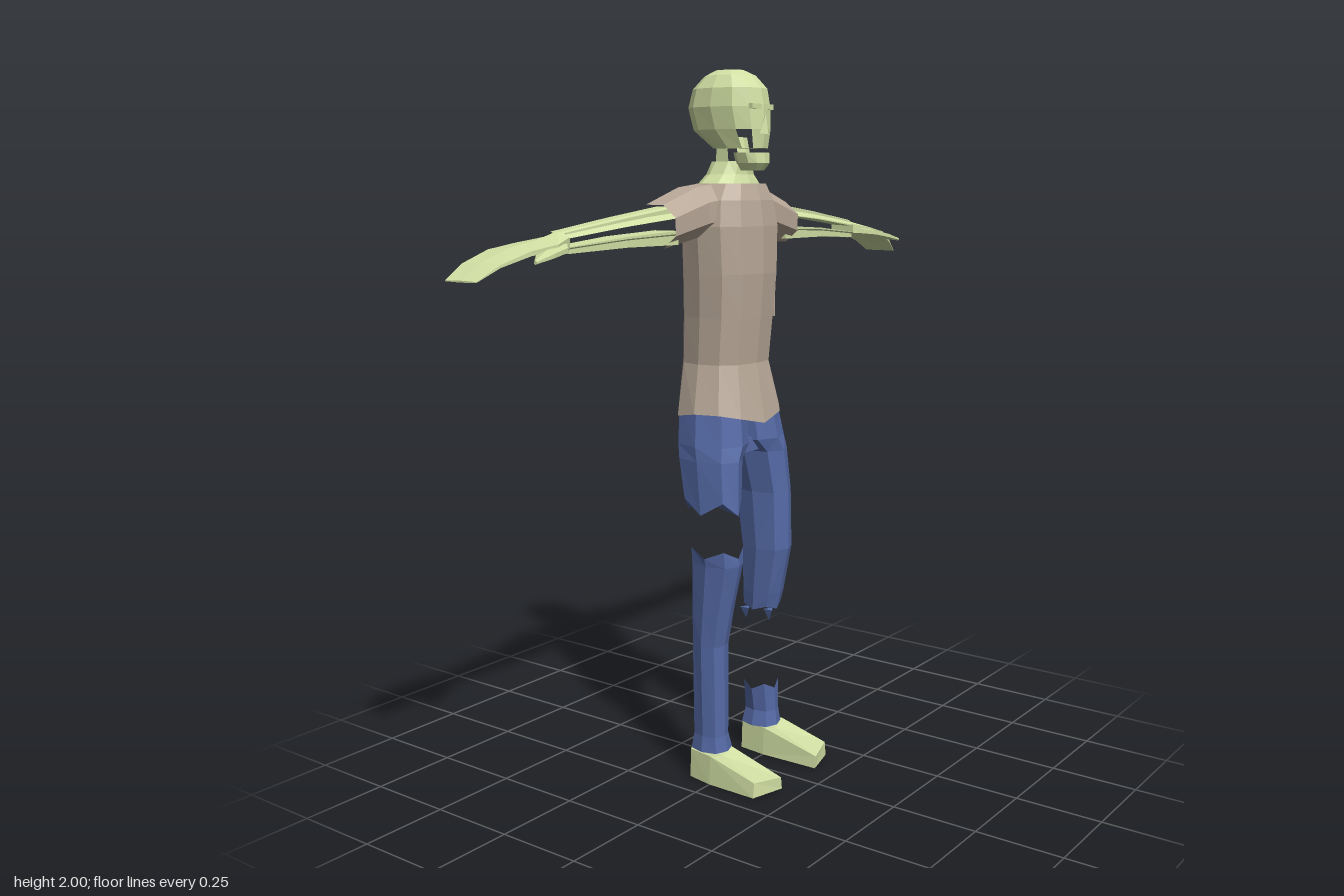
import * as THREE from 'three';

const mat = (name, color) => new THREE.MeshStandardMaterial({ name, color, flatShading: true });

// Flat-shaded geometry from corner positions
function faces(pos) {
  const g = new THREE.BufferGeometry();
  g.setAttribute('position', new THREE.Float32BufferAttribute(pos, 3));
  g.computeVertexNormals();
  return g;
}

// Skin through rings of points; skip(row, cell) leaves holes, flip reverses the winding
function loft(rings, { skip = () => false, bottom = false, top = false, flip = false } = {}) {
  const pos = [];
  const tri = (a, b, c) => pos.push(...a, ...(flip ? c : b), ...(flip ? b : c));
  const n = rings[0].length;
  for (let i = 0; i < rings.length - 1; i++) {
    for (let j = 0; j < n; j++) {
      if (skip(i, j)) continue;
      const k = (j + 1) % n;
      const a = rings[i][j], b = rings[i][k], c = rings[i + 1][k], d = rings[i + 1][j];
      tri(a, d, c);
      tri(a, c, b);
    }
  }
  const cap = (r, up) => {
    const m = [0, 1, 2].map(q => r.reduce((t, p) => t + p[q], 0) / n);
    r.forEach((p, j) => { const o = r[(j + 1) % n]; up ? tri(m, o, p) : tri(m, p, o); });
  };
  if (bottom) cap(rings[0], false);
  if (top) cap(rings[rings.length - 1], true);
  return faces(pos);
}

const soft = v => Math.sign(v) * Math.pow(Math.abs(v), 0.8);

// Level ring: y, x range, z range, optional torn edge and mirror sign
function level([y, x0, x1, z0, z1, jag = 0], n, s = 1) {
  return Array.from({ length: n }, (_, j) => {
    const a = j / n * Math.PI * 2;
    return [(x0 + x1) / 2 + (x1 - x0) / 2 * soft(Math.cos(a)), y + (j % 2 ? jag : -jag),
      s * ((z0 + z1) / 2 + (z1 - z0) / 2 * soft(Math.sin(a)))];
  });
}
const centred = (rows, n) => rows.map(([y, x0, x1, h]) => level([y, x0, x1, -h, h], n));

// Upright ring across an arm: z, x range, y range
function across([z, x0, x1, y0, y1], n, s) {
  return Array.from({ length: n }, (_, j) => {
    const a = (j - 0.5) / n * Math.PI * 2, w = 1 / Math.cos(Math.PI / n);
    return [(x0 + x1) / 2 + (x1 - x0) / 2 * w * Math.cos(a),
      (y0 + y1) / 2 - (y1 - y0) / 2 * w * Math.sin(a), s * z];
  });
}

export function createModel() {
  const model = new THREE.Group();
  const skin = mat('skin', 0xd2e0a4), shirt = mat('shirt', 0xb8a898), denim = mat('denim', 0x556aa6);
  const add = (name, geo, m, x = 0, y = 0, z = 0) => {
    const mesh = new THREE.Mesh(geo, m);
    mesh.name = name;
    mesh.position.set(x, y, z);
    model.add(mesh);
    return mesh;
  };

  // Head with missing cheeks, jaw, nose and brow
  add('head', loft(centred([
    [1.79, -0.1, 0.052, 0.06], [1.84, -0.165, 0.058, 0.077], [1.9, -0.18, 0.054, 0.086],
    [1.95, -0.165, 0.045, 0.08], [1.985, -0.13, 0.012, 0.057], [2.0, -0.1, -0.02, 0.03],
  ], 12), { skip: (i, j) => i === 0 && (j === 1 || j === 10), bottom: true, top: true }), skin);
  add('jaw', loft(centred([[1.73, -0.015, 0.045, 0.032], [1.75, -0.025, 0.06, 0.045],
    [1.778, -0.03, 0.056, 0.052]], 10), { bottom: true, top: true }), skin);
  const nose = add('nose', new THREE.ConeGeometry(0.017, 0.055, 4), skin, 0.057, 1.856, 0);
  nose.rotation.z = -0.15;
  add('brow', new THREE.BoxGeometry(0.02, 0.014, 0.1), skin, 0.042, 1.9, 0);

  // Neck and collar skin, torn at the throat
  add('neck', loft(centred([[1.66, -0.145, 0.01, 0.115], [1.69, -0.14, 0.01, 0.098], [1.72, -0.12, 0.0, 0.065],
    [1.755, -0.11, 0.0, 0.045], [1.82, -0.1, -0.015, 0.042]], 10),
  { skip: (i, j) => i === 3 && [1, 3, 6, 8].includes(j) }), skin);

  // Shirt body with a wavy hem and a hole on the right flank
  const body = centred([
    [1.02, -0.19, 0.06, 0.163], [1.2, -0.185, 0.032, 0.128], [1.33, -0.18, 0.045, 0.132],
    [1.45, -0.178, 0.055, 0.14], [1.58, -0.178, 0.054, 0.148], [1.65, -0.172, 0.045, 0.135],
    [1.695, -0.145, 0.03, 0.1],
  ], 12);
  body[0].forEach((p, j) => {
    const a = j / 12 * Math.PI * 2;
    p[1] += 0.045 * Math.abs(Math.sin(a)) + 0.012 * Math.cos(a);
  });
  add('shirtBody', loft(body, { skip: (i, j) => i === 2 && j >= 8 && j <= 10 }), shirt);

  // Torn cloth that narrows the hole to a point on either side, and the ribs inside
  const torn = [[8, 8], [10, 11]].flatMap(([j, edge]) => {
    const [a, b, c, d] = [body[2][j], body[2][j + 1], body[3][j + 1], body[3][j]];
    const tip = body[2][edge].map((v, q) => (v + body[3][edge][q]) / 2);
    return [a, tip, b, tip, d, c].flat();
  });
  add('tornCloth', faces(torn), shirt);
  add('woundBack', new THREE.BoxGeometry(0.17, 0.13, 0.008), shirt, -0.055, 1.39, -0.088);
  for (let i = 0; i < 3; i++) {
    const rib = add('rib', new THREE.BoxGeometry(0.1, 0.016, 0.026), skin, -0.04, 1.355 + i * 0.035, -0.108);
    rib.rotation.set(0.15, -0.15, 0);
  }
  add('crotch', new THREE.BoxGeometry(0.13, 0.04, 0.11), denim, -0.06, 0.963, 0);

  for (const s of [1, -1]) {
    const flip = s < 0;
    const limb = (rows, n, opts) => loft(rows.map(r => across(r, n, s)), { flip, ...opts });
    const closed = { bottom: true, top: true };

    // Sleeve and arm, the arm split open along its front
    add('sleeve', limb([[0.08, -0.155, 0.0, 1.56, 1.695], [0.15, -0.17, -0.015, 1.55, 1.685],
      [0.285, -0.168, -0.025, 1.525, 1.64]], 8), shirt);
    add('arm', limb([[0.25, -0.15, -0.04, 1.535, 1.635], [0.45, -0.145, -0.045, 1.535, 1.61],
      [0.66, -0.14, -0.06, 1.525, 1.58]], 8, { skip: (i, j) => j === 0 }), skin);
    add('upperArmMuscle', limb([[0.25, -0.12, -0.055, 1.605, 1.632], [0.45, -0.12, -0.06, 1.587, 1.607],
      [0.65, -0.12, -0.072, 1.563, 1.578]], 4, closed), skin);
    add('lowerArmMuscle', limb([[0.25, -0.125, -0.045, 1.535, 1.572], [0.45, -0.125, -0.05, 1.535, 1.562],
      [0.65, -0.12, -0.065, 1.527, 1.543]], 4, closed), skin);

    // Flat hand and thumb
    add('hand', limb([[0.65, -0.14, -0.06, 1.53, 1.578], [0.72, -0.178, -0.03, 1.53, 1.56],
      [0.8, -0.187, -0.04, 1.525, 1.545], [0.88, -0.19, -0.062, 1.502, 1.514],
      [0.94, -0.185, -0.08, 1.472, 1.476]], 6, closed), skin);
    add('thumb', limb([[0.66, -0.11, -0.06, 1.535, 1.56], [0.71, -0.09, -0.01, 1.53, 1.55],
      [0.77, -0.055, 0.003, 1.52, 1.538], [0.83, -0.004, 0.005, 1.512, 1.52]], 6, closed), skin);

    // Trousers: one leg torn at the thigh, the other at the shin
    const leg = (name, rows, bottom = false) =>
      add(name, loft(rows.map(r => level(r, 8, s)), { flip, bottom }), denim);
    const hip = [[0.935, -0.145, 0.05, 0.045, 0.175], [0.975, -0.155, 0.045, 0, 0.172],
      [1.085, -0.165, 0.03, 0, 0.15]];
    const cuff = [[0.085, -0.097, 0.02, 0.073, 0.174], [0.13, -0.088, 0.012, 0.085, 0.167]];
    const knee = [0.64, -0.092, 0.06, 0.064, 0.178];
    if (s > 0) {
      leg('thigh', [[0.805, -0.12, 0.058, 0.065, 0.18, 0.02], ...hip], true);
      leg('lowerLeg', [...cuff, [0.4, -0.088, 0.01, 0.078, 0.172], [0.5, -0.09, 0.03, 0.075, 0.174],
        knee, [0.675, -0.092, 0.058, 0.062, 0.182, 0.012]]);
    } else {
      leg('thighAndKnee', [[0.455, -0.088, 0.018, 0.073, 0.172, 0.006], [0.5, -0.09, 0.03, 0.07, 0.174],
        knee, [0.81, -0.12, 0.058, 0.065, 0.18], ...hip], true);
      leg('trouserCuff', [...cuff, [0.21, -0.088, 0.01, 0.075, 0.172, 0.01]]);
      // Hanging scraps of cloth
      [[-0.07, -0.09], [0.0, -0.11], [-0.03, -0.16]].forEach(([x, z]) => {
        const scrap = add('clothScrap', new THREE.ConeGeometry(0.018, 0.035, 3), denim, x, 0.43, z);
        scrap.rotation.x = Math.PI;
      });
    }

    // Bare foot: square toes and an instep sloping down to them
    const plan = [[0.183, 0.085], [0.155, 0.187], [0.0, 0.186], [-0.08, 0.172],
      [-0.1, 0.128], [-0.085, 0.086], [0.0, 0.078]];
    const sole = plan.map(([x, z]) => [x, 0, s * z]);
    const instep = plan.map(([x, z]) => [x, 0.083 - 0.26 * Math.max(x, 0), s * (z * 0.9 + 0.013)]);
    add('foot', loft([sole, instep], { flip, ...closed }), skin);
  }
  return model;
}
